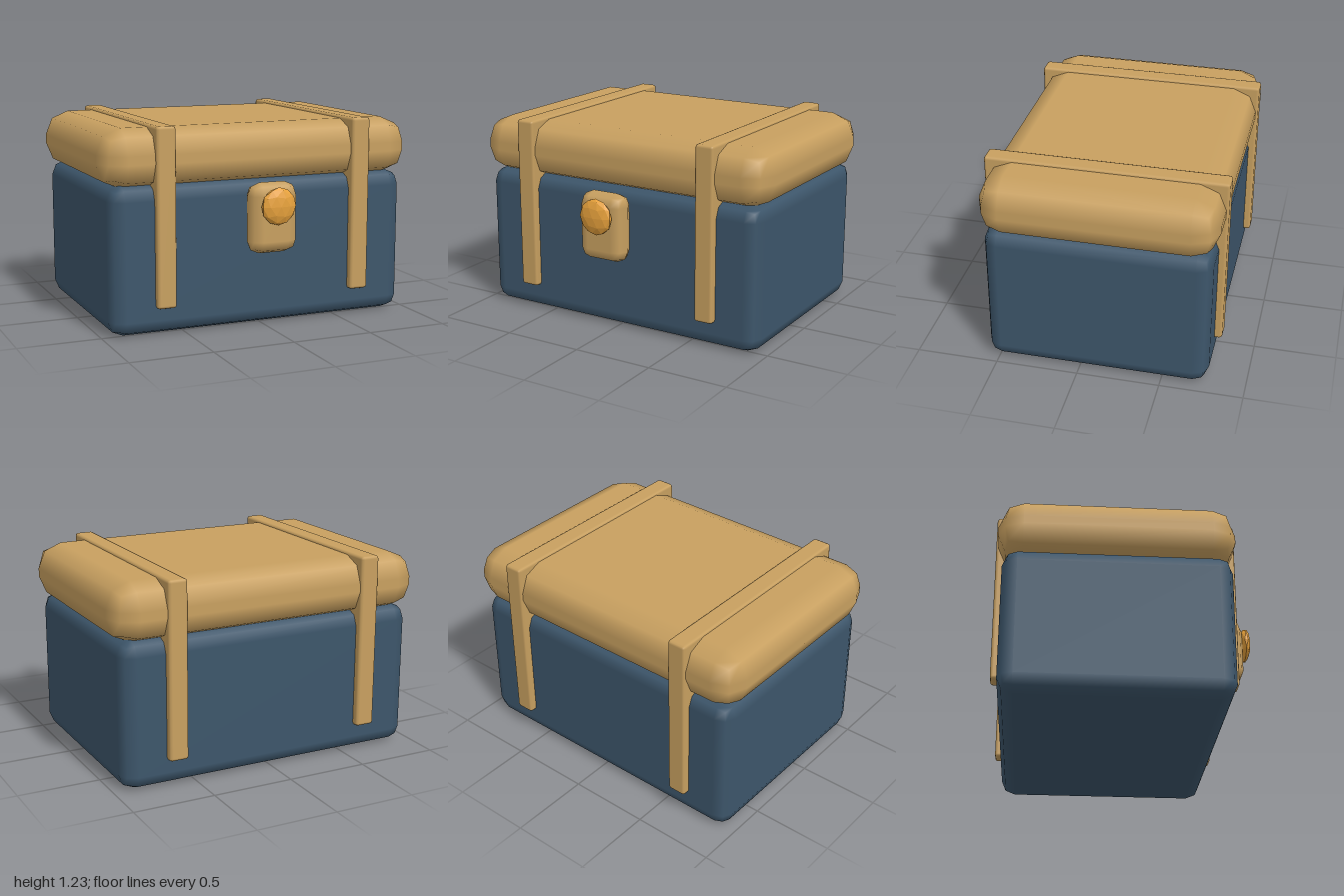
import * as THREE from 'three';
import { RoundedBoxGeometry } from 'three/addons/geometries/RoundedBoxGeometry.js';

const blue = new THREE.MeshStandardMaterial({ color: 0x3d566b });
const tan = new THREE.MeshStandardMaterial({ color: 0xc8a060 });
const gold = new THREE.MeshStandardMaterial({ color: 0xe8a23c, flatShading: true });

// Box with bevelled edges, given by its lowest and highest corners
function bevelBox(name, material, min, max, radius) {
  const size = max.map((v, i) => v - min[i]);
  const mesh = new THREE.Mesh(new RoundedBoxGeometry(...size, 1, radius), material);
  mesh.position.set(...max.map((v, i) => (v + min[i]) / 2));
  mesh.name = name;
  return mesh;
}

export function createModel() {
  const chest = new THREE.Group();
  chest.name = 'chest';

  // Body and overhanging lid
  chest.add(bevelBox('body', blue, [-0.955, 0, -0.775], [0.955, 0.89, 0.575], 0.09));
  chest.add(bevelBox('lid', tan, [-1, 0.865, -0.805], [1, 1.217, 0.6], 0.15));

  // Straps wrapping front, top and back
  for (const side of [-1, 1]) {
    const x = side * 0.63;
    const name = side > 0 ? 'leftStrap' : 'rightStrap';
    chest.add(bevelBox(name, tan, [x - 0.06, 0.167, -0.82], [x + 0.06, 1.233, 0.62], 0.018));
  }

  // Latch plate
  chest.add(bevelBox('latchPlate', tan, [-0.155, 0.465, 0.602], [0.155, 0.888, 0.755], 0.076));

  // Faceted, flattened knob with one vertex pointing up
  const knobShape = new THREE.IcosahedronGeometry(1, 1);
  knobShape.rotateZ(-Math.atan(2 / (1 + Math.sqrt(5))));
  knobShape.scale(0.11, 0.112, 0.038);
  const knob = new THREE.Mesh(knobShape, gold);
  knob.name = 'latchKnob';
  knob.position.set(0, 0.757, 0.78);
  chest.add(knob);

  return chest;
}
